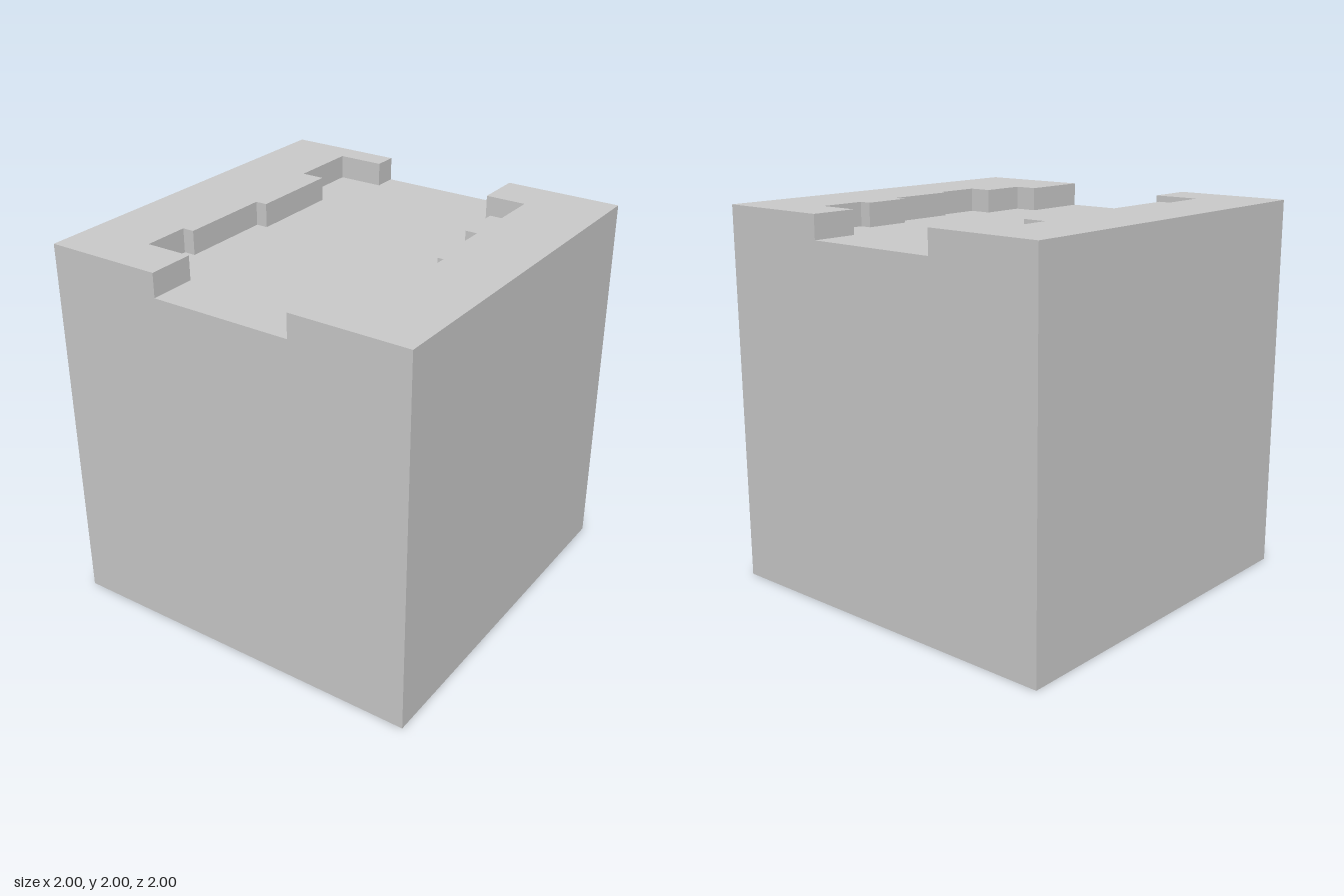
import * as THREE from 'three';

const TOP = 2, FLOOR = 1.875;

// Stepped bank edges: [x of the edge, z where that step ends], from back to front
const rightEdge = [[-0.375, -0.875], [-0.625, -0.5], [-0.5, 0], [-0.5625, 0.5], [-0.625, 0.75], [-0.375, 1]];
const leftEdge = [[0.375, -0.75], [0.594, -0.5], [0.53, -0.25], [0.594, 0.125], [0.625, 0.375], [0.5, 0.625], [0.375, 1]];

export function createModel() {
  const group = new THREE.Group();
  const material = new THREE.MeshStandardMaterial({ color: 0xcccccc, flatShading: true });

  const add = (name, geometry, y) => {
    const mesh = new THREE.Mesh(geometry, material);
    mesh.name = name;
    mesh.position.y = y;
    group.add(mesh);
  };

  // Raised bank between an outer side of the block and a stepped edge
  const addBank = (name, outerX, edge) => {
    const shape = new THREE.Shape();
    shape.moveTo(outerX, -1);
    let z = -1;
    for (const [x, endZ] of edge) {
      shape.lineTo(x, z);
      shape.lineTo(x, endZ);
      z = endZ;
    }
    shape.lineTo(outerX, 1);
    shape.closePath();
    const geometry = new THREE.ExtrudeGeometry(shape, { depth: TOP - FLOOR, bevelEnabled: false });
    geometry.rotateX(Math.PI / 2); // shape y becomes z, depth runs downward
    add(name, geometry, TOP);
  };

  // Solid block up to the channel floor
  add('block', new THREE.BoxGeometry(2, FLOOR, 2), FLOOR / 2);

  // Banks on both sides of the channel
  addBank('rightBank', -1, rightEdge);
  addBank('leftBank', 1, leftEdge);

  return group;
}
